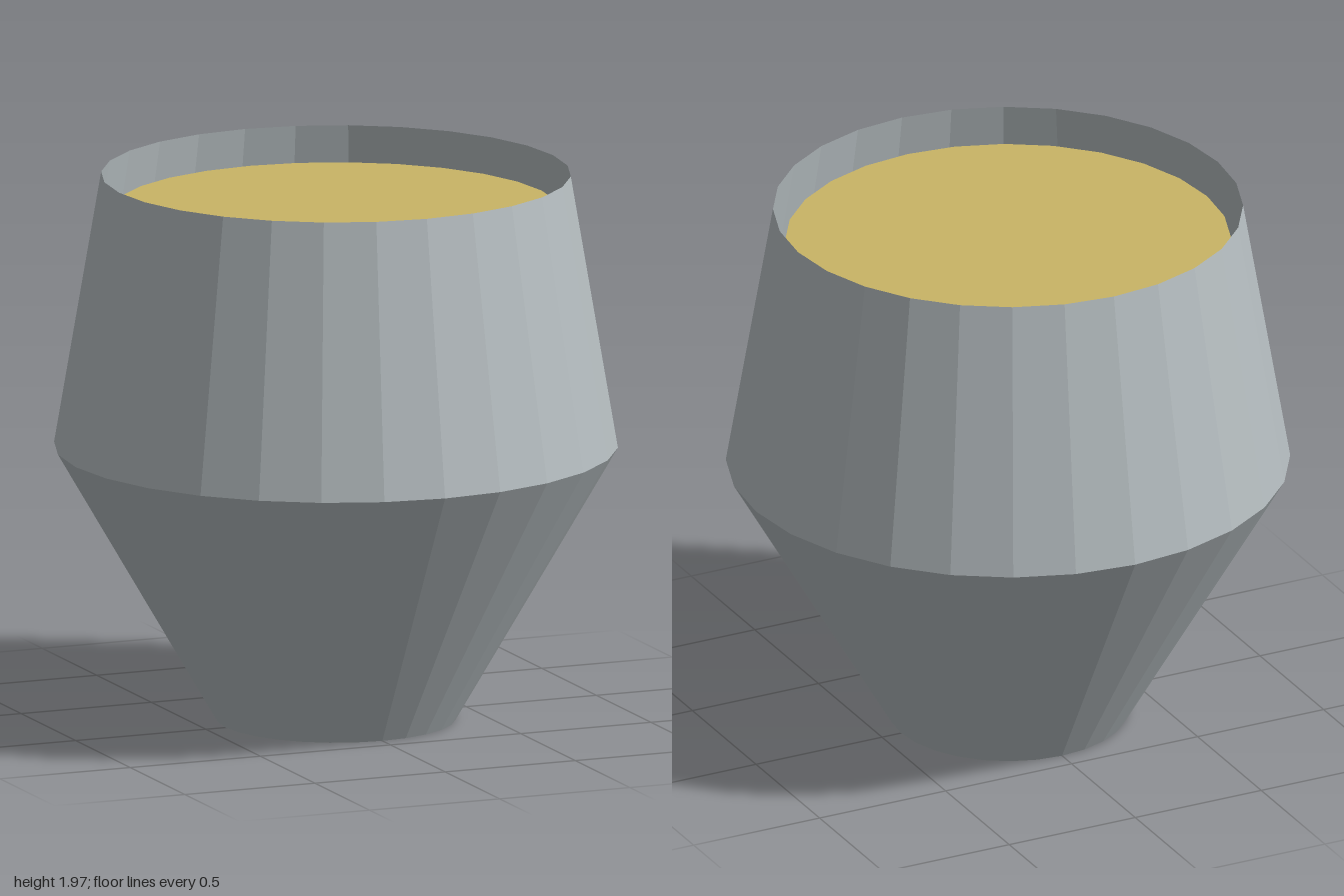
import * as THREE from 'three';

const SIDES = 28;

// Faceted solid of revolution from [radius, height] points, bottom to top
function turned(name, points, material) {
  const profile = points.map(([r, y]) => new THREE.Vector2(r, y));
  const geometry = new THREE.LatheGeometry(profile, SIDES).toNonIndexed();
  geometry.computeVertexNormals();
  const mesh = new THREE.Mesh(geometry, material);
  mesh.name = name;
  return mesh;
}

export function createModel() {
  const metal = new THREE.MeshStandardMaterial({ color: 0xb6bec1, flatShading: true, side: THREE.DoubleSide });
  metal.name = 'pale grey';
  const gold = new THREE.MeshStandardMaterial({ color: 0xc9b566, flatShading: true });
  gold.name = 'dull gold';

  const group = new THREE.Group();
  group.name = 'filledCup';

  // Thin open cup: closed foot, flared bowl, tapered collar
  group.add(turned('cup', [[0, 0], [0.425, 0], [1, 0.99], [0.833, 1.97]], metal));

  // Contents sit just inside the wall, below the rim
  group.add(turned('contents', [[0, 0.06], [0.4, 0.06], [0.945, 0.97], [0.79, 1.845], [0, 1.845]], gold));

  return group;
}
